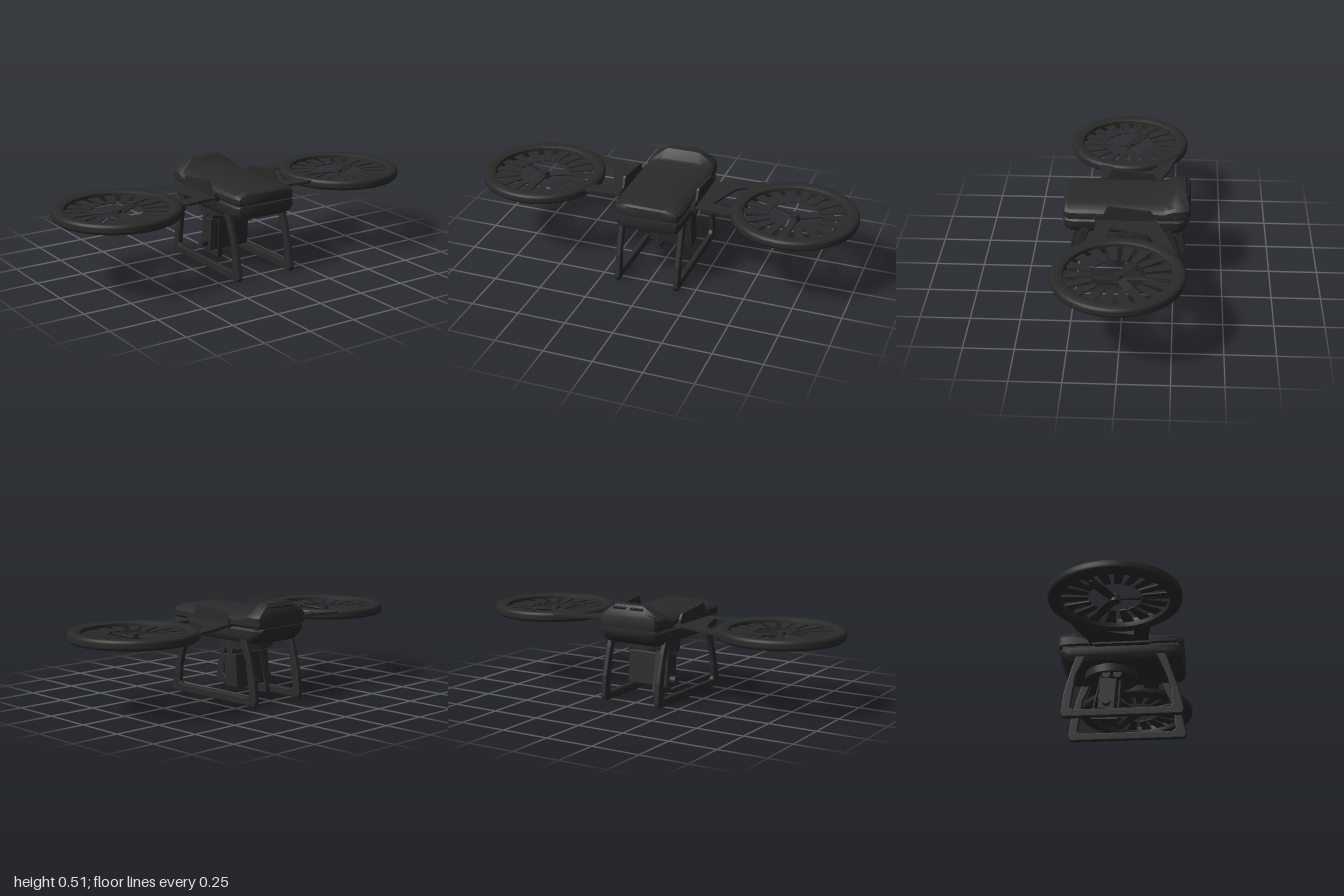
import * as THREE from 'three';
import { toCreasedNormals } from 'three/addons/utils/BufferGeometryUtils.js';
import { RoundedBoxGeometry } from 'three/addons/geometries/RoundedBoxGeometry.js';

const dark = new THREE.MeshStandardMaterial({ color: 0x2a2a2a });

function add(parent, name, geometry, x = 0, y = 0, z = 0) {
  const mesh = new THREE.Mesh(geometry, dark);
  mesh.name = name;
  mesh.position.set(x, y, z);
  parent.add(mesh);
  return mesh;
}

const vecs = (pts) => pts.map(([a, b]) => new THREE.Vector2(a, b));

// Extrusion centred on its depth, with an optional hole and bevel
function slab(pts, depth, hole, bevel = 0) {
  const shape = new THREE.Shape(vecs(pts));
  if (hole) shape.holes.push(new THREE.Path(vecs(hole)));
  const g = new THREE.ExtrudeGeometry(shape, {
    depth: depth - 2 * bevel, bevelEnabled: bevel > 0, bevelSize: bevel,
    bevelThickness: bevel, bevelOffset: -bevel, bevelSegments: 2,
  });
  return g.translate(0, 0, bevel - depth / 2);
}
const sideSlab = (...a) => slab(...a).rotateY(-Math.PI / 2); // points are [z, y]
const flatSlab = (...a) => slab(...a).rotateX(Math.PI / 2); // points are [x, z]

// Skin over half sections [x, y] (bottom to top), mirrored in x, running front to back
function loft(sections) {
  const rings = sections.map(({ z, half }) => [
    ...half.map(([x, y]) => [x, y, z]),
    ...half.slice().reverse().map(([x, y]) => [-x, y, z]),
  ]);
  const collapse = (ring) => {
    const y = ring.reduce((s, p) => s + p[1], 0) / ring.length;
    return ring.map((p) => [0, y, p[2]]);
  };
  rings.unshift(collapse(rings[0]));
  rings.push(collapse(rings[rings.length - 1]));
  const n = rings[0].length;
  const index = [];
  for (let i = 0; i < rings.length - 1; i++) {
    for (let j = 0; j < n; j++) {
      const a = i * n + j, b = i * n + (j + 1) % n;
      index.push(a, a + n, b, b, a + n, b + n);
    }
  }
  const g = new THREE.BufferGeometry();
  g.setAttribute('position', new THREE.Float32BufferAttribute(rings.flat(2), 3));
  g.setIndex(index);
  return toCreasedNormals(g, 0.6);
}

function buildBody(group) {
  // Upper shell: z, half width, top height, half width of the flat top
  const upper = [
    [0.31, 0.135, 0.445, 0.08], [0.3, 0.16, 0.454, 0.1], [0.27, 0.175, 0.457, 0.115],
    [0, 0.177, 0.457, 0.12], [-0.2, 0.177, 0.457, 0.12], [-0.22, 0.177, 0.465, 0.11],
    [-0.255, 0.177, 0.51, 0.085], [-0.305, 0.172, 0.51, 0.08],
    [-0.325, 0.16, 0.475, 0.1], [-0.332, 0.14, 0.45, 0.1],
  ].map(([z, w, top, flat]) => {
    const shoulder = Math.min(top - 0.02, 0.455);
    return { z, half: [[w - 0.01, 0.395], [w, 0.403], [w, shoulder - 0.01],
      [w - 0.012, shoulder + 0.005], [flat, top]] };
  });
  add(group, 'upperShell', loft(upper));

  // Lower shell: z, half width, bottom height
  const lower = [
    [0.31, 0.135, 0.335], [0.3, 0.16, 0.32], [0.27, 0.175, 0.311], [0.1, 0.177, 0.306],
    [-0.27, 0.177, 0.306], [-0.305, 0.165, 0.33], [-0.328, 0.14, 0.365],
  ].map(([z, w, bottom]) => ({ z, half: [[w * 0.72, bottom], [w * 0.9, bottom + 0.009],
    [w, Math.min(bottom + 0.035, 0.375)], [w, 0.38], [w - 0.008, 0.388]] }));
  add(group, 'lowerShell', loft(lower));
  add(group, 'shellSeam', new RoundedBoxGeometry(0.33, 0.05, 0.61, 3, 0.02), 0, 0.392, -0.01);

  // Vents on the back of the raised tail
  for (const s of [-1, 1]) {
    const vent = add(group, 'rearVent', new THREE.BoxGeometry(0.075, 0.014, 0.01), s * 0.05, 0.492, -0.316);
    vent.rotation.x = -0.5;
  }
}

// Ducted fan: rim, fixed vanes, hub and three pitched blades
function buildFan() {
  const fan = new THREE.Group();
  fan.name = 'fan';
  const rim = vecs([
    [0.258, -0.025], [0.308, -0.025], [0.317, -0.018], [0.32, -0.006], [0.32, 0.008],
    [0.316, 0.019], [0.307, 0.025], [0.27, 0.025], [0.258, 0.018], [0.255, 0], [0.258, -0.025],
  ]);
  add(fan, 'rim', toCreasedNormals(new THREE.LatheGeometry(rim, 72), 0.7));

  const vane = flatSlab([[0.13, -0.016], [0.265, -0.029], [0.265, 0.029], [0.13, 0.016]], 0.006);
  const vanes = 18;
  for (let i = 0; i < vanes; i++) {
    add(fan, 'vane', vane).rotation.set(0, ((i + 0.5) / vanes) * Math.PI * 2, 0);
  }
  const blade = flatSlab([[0, -0.012], [0.06, -0.022], [0.13, -0.024], [0.2, -0.014],
    [0.21, 0], [0.19, 0.014], [0.06, 0.018], [0, 0.012]], 0.006).rotateX(0.35);
  for (let i = 0; i < 3; i++) {
    add(fan, 'blade', blade, 0, -0.012).rotation.y = -Math.PI / 2 + (i * Math.PI * 2) / 3;
  }
  add(fan, 'hub', new THREE.CylinderGeometry(0.022, 0.026, 0.036, 24), 0, -0.01);
  return fan;
}

function buildSide(group, s) {
  const side = new THREE.Group();
  side.name = s > 0 ? 'leftSide' : 'rightSide';
  group.add(side);
  const flip = (pts) => pts.map(([x, z]) => [x * s, z]);

  const fan = buildFan();
  fan.position.set(s * 0.68, 0.387, 0.007);
  side.add(fan);

  // Thin forked arm reaching to the rim
  const outline = [[0.16, -0.165], [0.22, -0.17], [0.34, -0.215], [0.5, -0.26], [0.45, -0.17],
    [0.4, 0], [0.41, 0.14], [0.36, 0.155], [0.27, 0.14], [0.16, 0.135]];
  const opening = [[0.27, 0.065], [0.285, 0.02], [0.335, -0.12], [0.38, -0.16],
    [0.41, -0.14], [0.38, 0], [0.38, 0.078]];
  add(side, 'arm', flatSlab(flip(outline), 0.012, flip(opening)), 0, 0.4);

  // Upright bracket where the arm meets the body
  add(side, 'armBracket', sideSlab([[0.145, 0.385], [0.145, 0.428], [0.105, 0.43], [0.085, 0.475],
    [0.077, 0.483], [-0.13, 0.458], [-0.15, 0.43], [-0.155, 0.385]], 0.012), s * 0.197);
  add(side, 'bracketFoot', new THREE.BoxGeometry(0.03, 0.03, 0.28), s * 0.185, 0.4, 0);

  // Landing frame: two raked legs joined by a skid
  add(side, 'landingLeg', sideSlab([
    [0.17, 0.338], [0.22, 0.338], [0.235, 0.29], [0.285, 0.13], [0.308, 0.022], [0.295, 0],
    [-0.302, 0], [-0.312, 0.025], [-0.3, 0.13], [-0.262, 0.27], [-0.237, 0.338],
    [-0.187, 0.338], [-0.238, 0.225], [-0.263, 0.055], [-0.247, 0.042],
    [0.236, 0.042], [0.249, 0.055], [0.243, 0.14], [0.222, 0.215],
  ], 0.027, null, 0.006), s * 0.158);
}

function buildCamera(group) {
  const rig = new THREE.Group();
  rig.name = 'cameraRig';
  group.add(rig);
  add(rig, 'mountDisc', new THREE.CylinderGeometry(0.135, 0.135, 0.05, 48), 0, 0.29, -0.073);
  for (const z of [-0.032, -0.09]) {
    add(rig, 'damper', new THREE.CylinderGeometry(0.022, 0.022, 0.25, 24).rotateZ(Math.PI / 2), 0.01, 0.257, z);
  }

  // Tilted camera with a front panel and a side knob
  const camera = new THREE.Group();
  camera.name = 'camera';
  camera.position.set(0, 0.15, -0.083);
  camera.rotation.x = 0.085;
  rig.add(camera);
  add(camera, 'cameraBody', new RoundedBoxGeometry(0.235, 0.172, 0.086, 2, 0.006), 0.006, 0, 0);
  add(camera, 'frontPanel', new RoundedBoxGeometry(0.2, 0.14, 0.01, 2, 0.004), 0.006, 0, 0.041);
  add(camera, 'knob', new THREE.CylinderGeometry(0.022, 0.022, 0.035, 20).rotateZ(Math.PI / 2), -0.126, -0.05, 0);
  add(camera, 'neck', new THREE.BoxGeometry(0.06, 0.03, 0.04), 0.006, 0.095, 0);

  // Loop strap around the camera
  add(rig, 'cameraStrap', sideSlab(
    [[-0.016, 0.27], [-0.03, 0.03], [-0.04, 0.022], [-0.168, 0.025], [-0.173, 0.042], [-0.122, 0.27]], 0.028,
    [[-0.024, 0.262], [-0.118, 0.262], [-0.16, 0.068], [-0.155, 0.062], [-0.046, 0.047], [-0.037, 0.055]]), -0.06);
}

export function createModel() {
  const group = new THREE.Group();
  group.name = 'drone';
  buildBody(group);
  for (const s of [-1, 1]) buildSide(group, s);
  buildCamera(group);
  return group;
}
